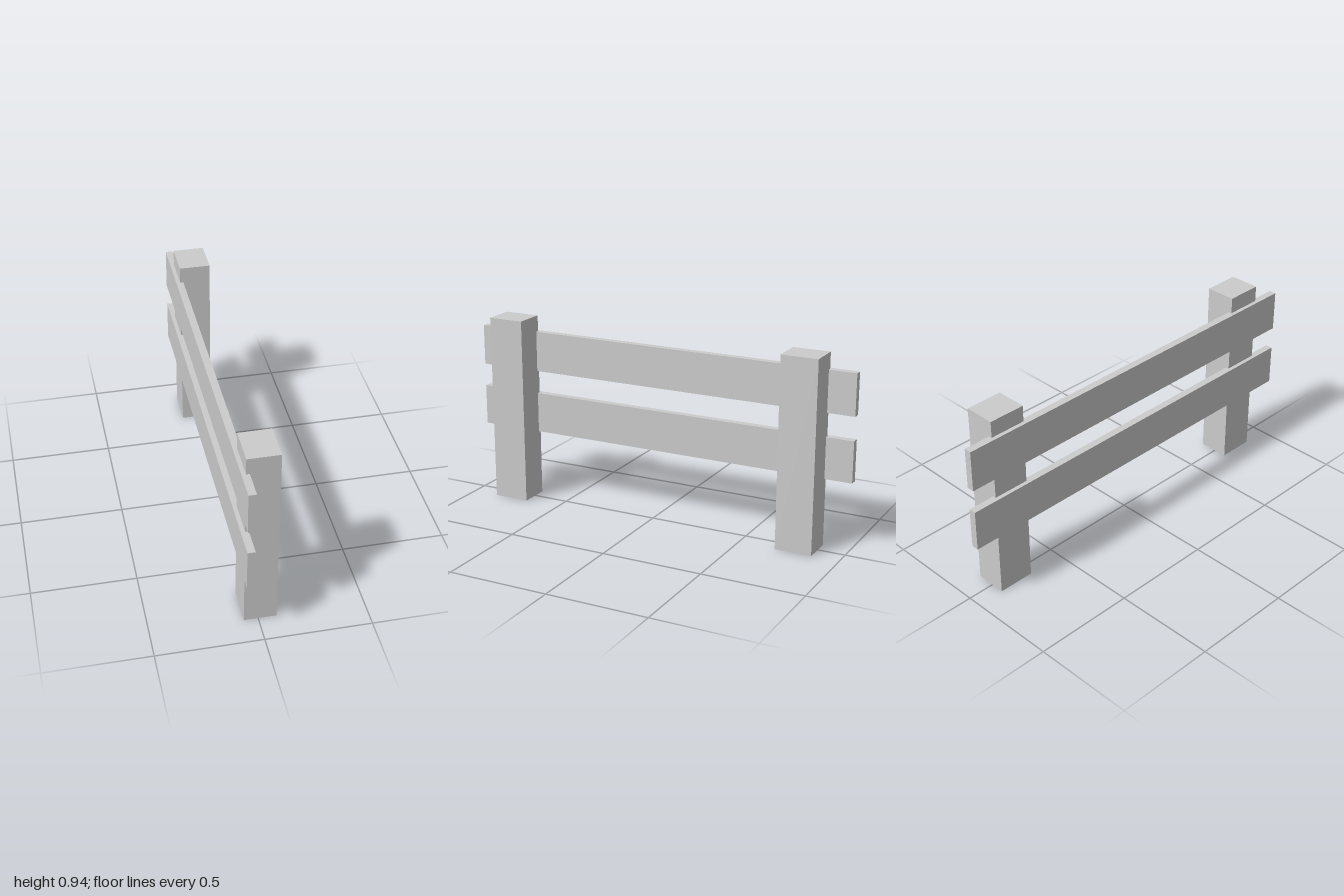
import * as THREE from 'three';

export function createModel() {
  const group = new THREE.Group();
  group.name = 'fence';
  const material = new THREE.MeshStandardMaterial({ color: 0xcccccc, flatShading: true });

  const addBox = (name, size, position) => {
    const mesh = new THREE.Mesh(new THREE.BoxGeometry(...size), material);
    mesh.name = name;
    mesh.position.set(...position);
    group.add(mesh);
  };

  // Square posts near each end
  const postHeight = 0.937;
  for (const [name, side] of [['frontPost', 1], ['backPost', -1]]) {
    addBox(name, [0.152, postHeight, 0.181], [0.0095, postHeight / 2, side * 0.775]);
  }

  // Long flat rails set slightly into the posts' right faces
  for (const [name, y] of [['lowerRail', 0.436], ['upperRail', 0.755]]) {
    addBox(name, [0.036, 0.203, 2], [-0.068, y, 0]);
  }

  return group;
}
